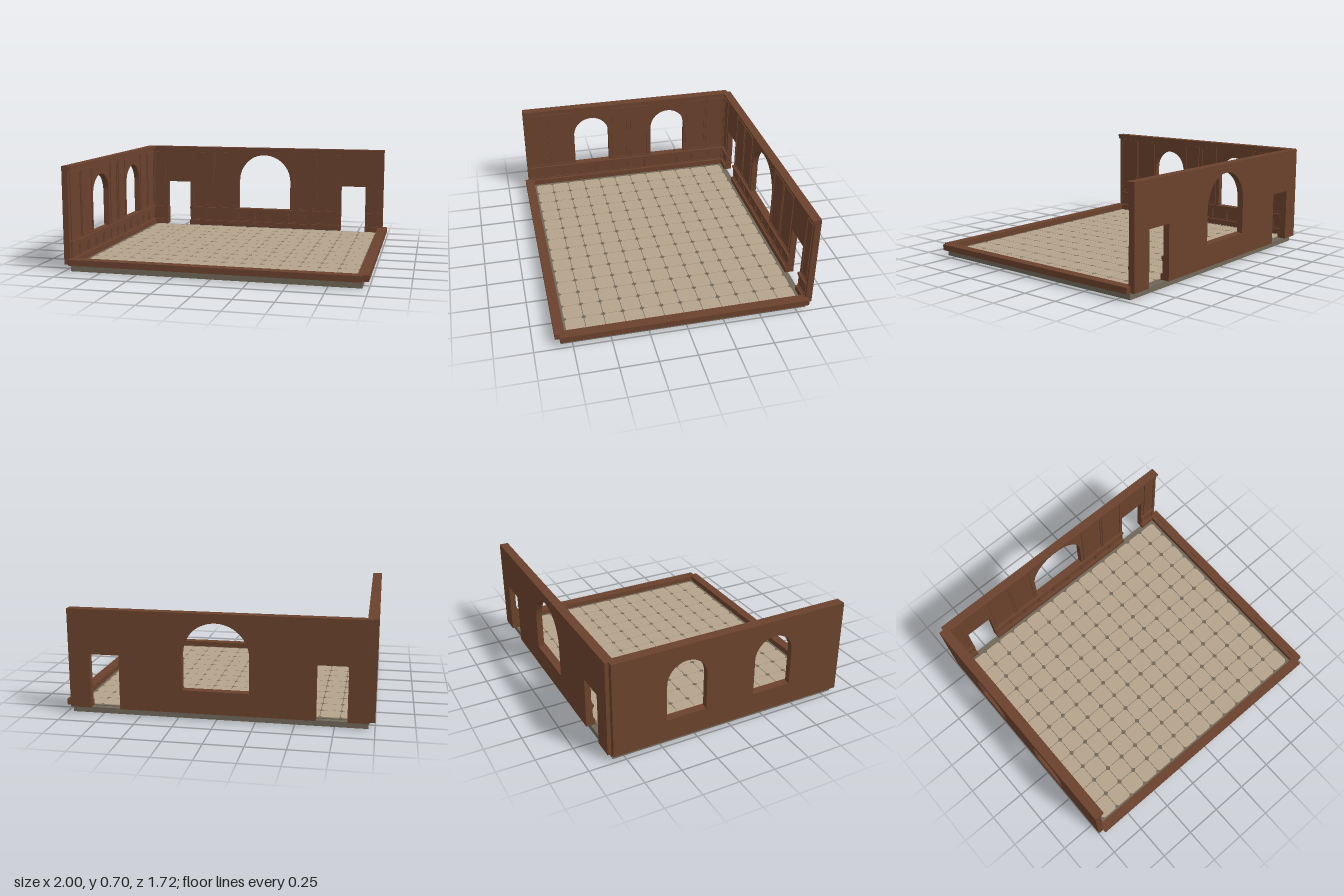
import * as THREE from 'three';
import { mergeGeometries } from 'three/addons/utils/BufferGeometryUtils.js';

const wood = new THREE.MeshStandardMaterial({ color: 0x6b422d });
wood.name = 'brown wood';
const stone = new THREE.MeshStandardMaterial({ color: 0x706859 });
stone.name = 'grey stone';
const tile = new THREE.MeshStandardMaterial({ color: 0xb5a48b });
tile.name = 'beige tile';

const BASE = 0.045, TOP = 0.7, THICK = 0.042;

// Box given by its minimum and maximum corners
function span(x0, x1, y0, y1, z0, z1) {
  return new THREE.BoxGeometry(x1 - x0, y1 - y0, z1 - z0)
    .translate((x0 + x1) / 2, (y0 + y1) / 2, (z0 + z1) / 2);
}

function add(group, name, geometry, material) {
  const mesh = new THREE.Mesh(geometry, material);
  mesh.name = name;
  group.add(mesh);
  return mesh;
}

// Thin moulding around a rectangle on the inner wall face
function frame(x0, x1, y0, y1, w = 0.008, d = 0.007) {
  const z0 = THICK, z1 = THICK + d;
  return [
    span(x0, x0 + w, y0, y1, z0, z1), span(x1 - w, x1, y0, y1, z0, z1),
    span(x0 + w, x1 - w, y0, y0 + w, z0, z1), span(x0 + w, x1 - w, y1 - w, y1, z0, z1),
  ];
}

// Wall along x: outer face at z = 0, inner side towards +z
function createWall(name, o) {
  const g = new THREE.Group();
  g.name = name;

  // Wall board, notched for doors and pierced by arched windows
  const s = new THREE.Shape();
  s.moveTo(-o.half, BASE);
  for (const [a, b, h] of o.doors) {
    s.lineTo(a, BASE); s.lineTo(a, h); s.lineTo(b, h); s.lineTo(b, BASE);
  }
  s.lineTo(o.half, BASE);
  s.lineTo(o.half, TOP);
  s.lineTo(-o.half, TOP);
  s.closePath();
  for (const [x, r, sill, spring] of o.arches) {
    const h = new THREE.Path();
    h.moveTo(x - r, sill);
    h.lineTo(x + r, sill);
    h.lineTo(x + r, spring);
    h.absarc(x, spring, r, 0, Math.PI, false);
    h.closePath();
    s.holes.push(h);
  }
  add(g, 'wallBoard', new THREE.ExtrudeGeometry(s, { depth: THICK, bevelEnabled: false, curveSegments: 20 }), wood);

  // Stepped crown moulding
  add(g, 'crownMoulding', mergeGeometries([
    span(-o.half, o.half, 0.665, 0.684, THICK, o.depth - 0.012),
    span(-o.half, o.half, 0.684, TOP, THICK, o.depth),
  ]), wood);

  // Baseboard, wainscot and chair rail on each run between doors
  const base = [], rail = [], stiles = [];
  for (const [a, b, n] of o.runs) {
    base.push(span(a, b, BASE, 0.085, THICK, o.depth));
    rail.push(span(a, b, 0.166, 0.178, THICK, THICK + 0.009));
    rail.push(span(a, b, 0.178, 0.196, THICK, THICK + 0.016));
    const pitch = (b - a) / n;
    for (let i = 0; i < n; i++) {
      stiles.push(...frame(a + i * pitch + 0.003, a + (i + 1) * pitch - 0.003, 0.085, 0.166));
    }
  }
  add(g, 'baseboard', mergeGeometries(base), wood);
  add(g, 'chairRail', mergeGeometries(rail), wood);
  add(g, 'wainscotPanels', mergeGeometries(stiles), wood);

  // Tall upper panels
  add(g, 'upperPanels', mergeGeometries(o.panels.flatMap(([a, b]) => frame(a, b, 0.207, 0.655))), wood);
  return g;
}

// Octagonal floor tiles leaving diamond gaps at the crossings
function createTiles() {
  const nx = 14, nz = 12, px = 0.1304, pz = 0.13, gap = 0.002, c = 0.016;
  const w = px / 2 - gap, h = pz / 2 - gap;
  const s = new THREE.Shape([
    [-w + c, -h], [w - c, -h], [w, -h + c], [w, h - c],
    [w - c, h], [-w + c, h], [-w, h - c], [-w, -h + c],
  ].map(([x, y]) => new THREE.Vector2(x, y)));
  const one = new THREE.ExtrudeGeometry(s, { depth: 0.005, bevelEnabled: false }).rotateX(-Math.PI / 2);
  const all = [];
  for (let i = 0; i < nx; i++) {
    for (let k = 0; k < nz; k++) {
      all.push(one.clone().translate((i - (nx - 1) / 2) * px, 0.041, (k - (nz - 1) / 2) * pz));
    }
  }
  return mergeGeometries(all);
}

export function createModel() {
  const room = new THREE.Group();
  room.name = 'panelledRoom';

  // Floor
  add(room, 'floorSlab', span(-0.96, 0.96, 0, 0.037, -0.825, 0.825), stone);
  add(room, 'groutBed', span(-0.925, 0.925, 0.037, 0.0415, -0.79, 0.79), stone);
  add(room, 'floorTiles', createTiles(), tile);

  // Back wall with two doors and a large arched window
  const back = createWall('backWall', {
    half: 0.965, depth: 0.062,
    doors: [[-0.83, -0.635, 0.405], [0.63, 0.825, 0.405]],
    arches: [[0, 0.215, 0.196, 0.425]],
    runs: [[-0.95, -0.83, 1], [-0.635, 0.63, 9], [0.825, 0.95, 1]],
    panels: [[-0.95, -0.855], [-0.61, -0.43], [-0.42, -0.24], [0.24, 0.42], [0.43, 0.61], [0.85, 0.945]],
  });
  back.position.z = -0.86;
  room.add(back);

  // Side wall with two arched windows
  const side = createWall('rightWall', {
    half: 0.835, depth: 0.068,
    doors: [],
    arches: [[-0.3, 0.14, 0.197, 0.45], [0.33, 0.14, 0.197, 0.45]],
    runs: [[-0.815, 0.815, 12]],
    panels: [[-0.81, -0.645], [-0.635, -0.46], [-0.135, -0.005], [0.02, 0.16], [0.49, 0.65], [0.66, 0.81]],
  });
  side.rotation.y = Math.PI / 2;
  side.position.x = -1;
  room.add(side);

  // Low curbs on the two open sides
  add(room, 'frontCurb', span(-0.962, 0.962, BASE, 0.085, 0.795, 0.86), wood);
  add(room, 'leftCurb', mergeGeometries([
    span(0.96, 1, BASE, 0.085, -0.83, 0.83),
    span(0.93, 0.96, BASE, 0.083, -0.82, 0.82),
  ]), wood);
  return room;
}
